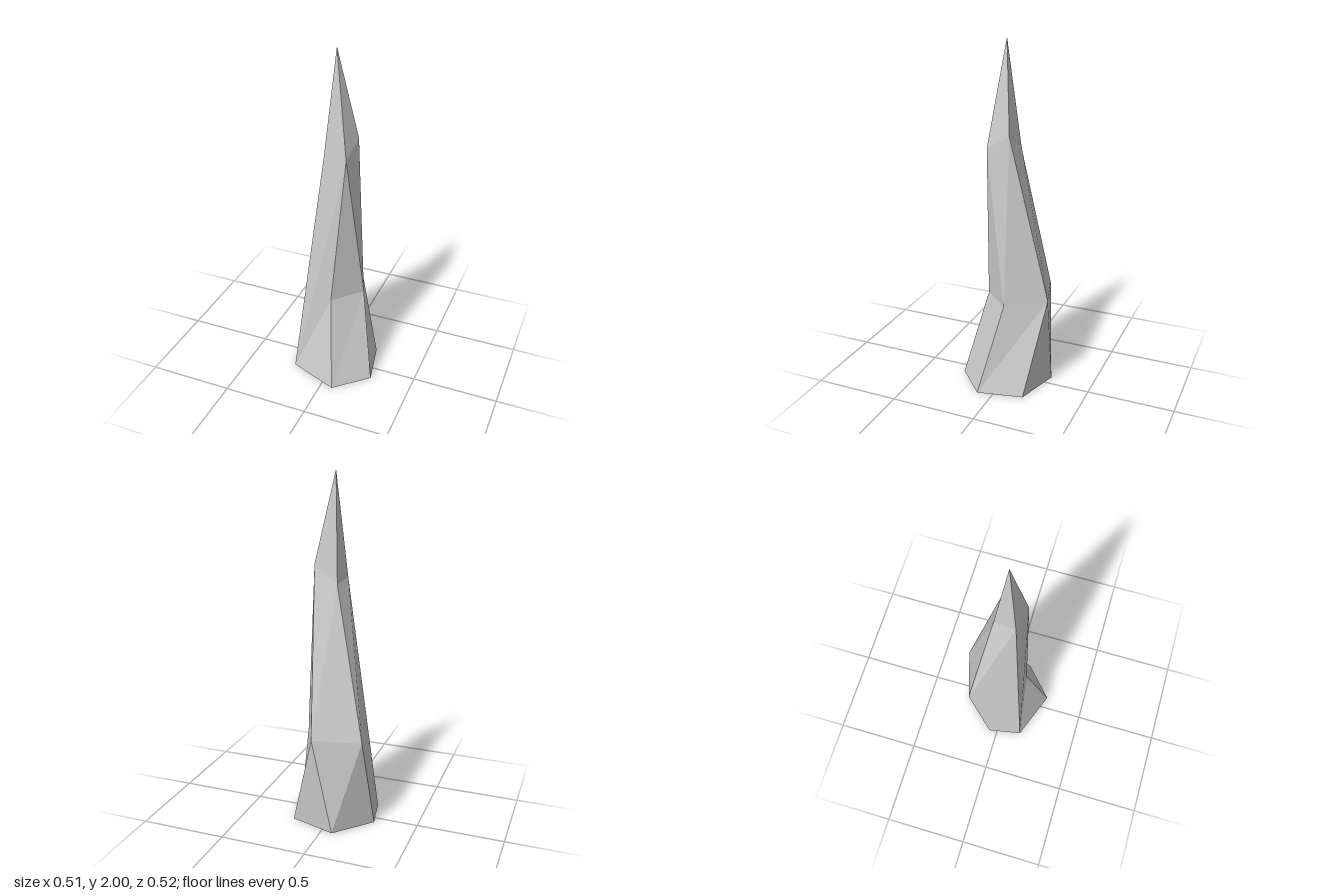
import * as THREE from 'three';

// Irregular faceted spike: six-sided foot, two four-cornered rings, one tip.
// Corners of each ring run counterclockwise seen from above.
const points = {
  // foot
  A: [0.07, 0, 0.26], B: [0.255, 0, 0.09], C: [0.2, 0, -0.17],
  D: [-0.065, 0, -0.25], E: [-0.255, 0, -0.05], F: [-0.217, 0, 0.15],
  // lower ring
  G: [0.01, 0.53, 0.12], H: [0.155, 0.53, -0.035],
  I: [0.05, 0.56, -0.26], J: [-0.218, 0.55, -0.18],
  // upper ring
  K: [-0.05, 1.42, 0.06], L: [0.087, 1.42, 0.09],
  M: [0.105, 1.5, -0.048], N: [-0.032, 1.4, -0.065],
  // tip
  P: [0.002, 2, 0.008],
};

// Each word is one facet, its corners counterclockwise from outside.
const facets = {
  foot: 'ABHG BCIH CDI DJI DEJ EFJ FAG',
  shaft: 'FGLK FKJ GHL HML HIM IJNM JKN',
  tip: 'KLP LMP MNP NKP',
  underside: 'FEDCBA',
};

// Splits every facet into a fan of flat triangles.
function facetedGeometry(words) {
  const position = [];
  for (const word of words.split(' ')) {
    for (let i = 1; i < word.length - 1; i++) {
      for (const corner of [word[0], word[i], word[i + 1]]) position.push(...points[corner]);
    }
  }
  const geometry = new THREE.BufferGeometry();
  geometry.setAttribute('position', new THREE.Float32BufferAttribute(position, 3));
  geometry.computeVertexNormals();
  return geometry;
}

export function createModel() {
  const group = new THREE.Group();
  group.name = 'spike';
  const material = new THREE.MeshStandardMaterial({ color: 0xcccccc, flatShading: true });
  for (const [name, words] of Object.entries(facets)) {
    const mesh = new THREE.Mesh(facetedGeometry(words), material);
    mesh.name = name;
    group.add(mesh);
  }
  return group;
}
